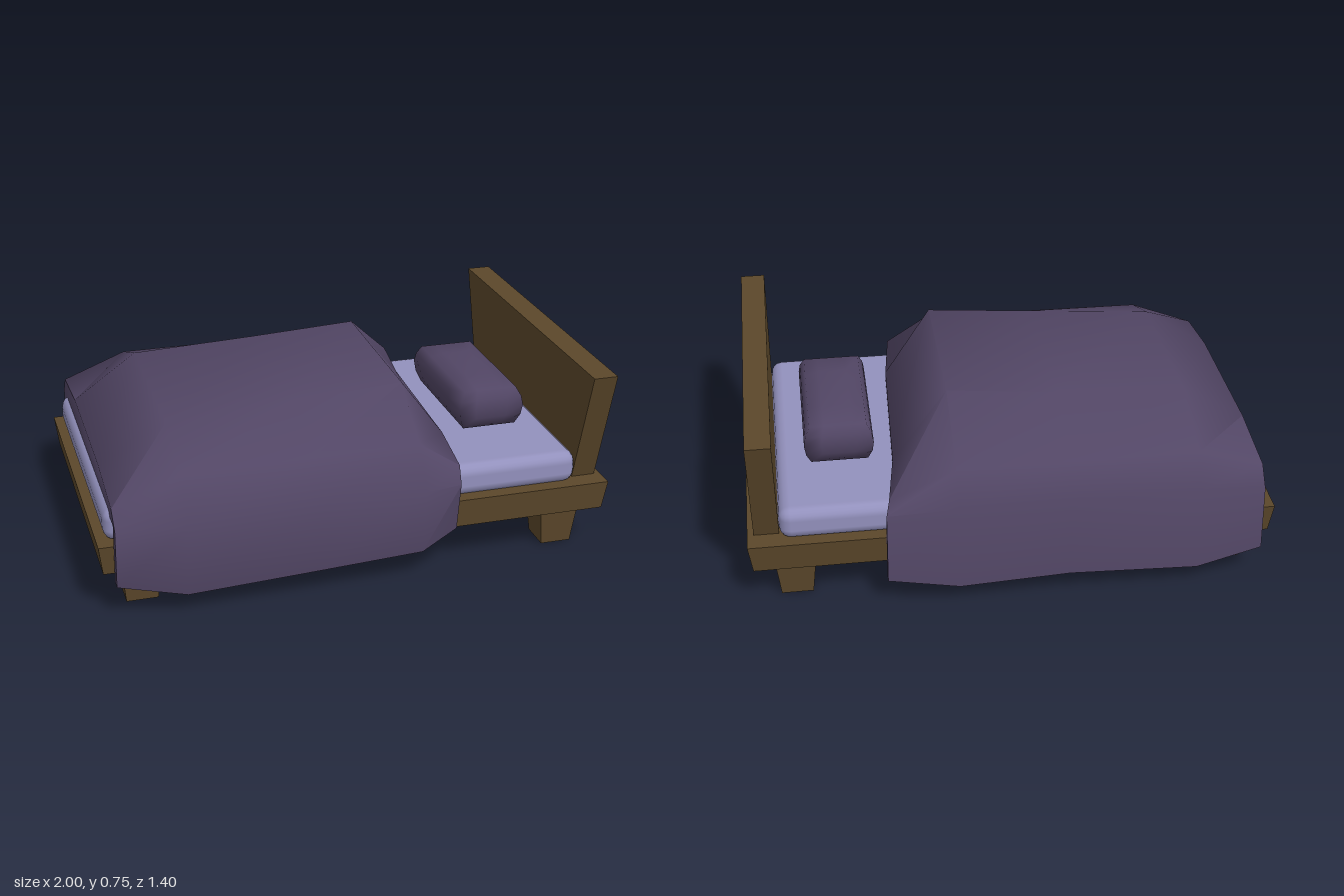
import * as THREE from 'three';
import { mergeVertices, toCreasedNormals } from 'three/addons/utils/BufferGeometryUtils.js';
import { RoundedBoxGeometry } from 'three/addons/geometries/RoundedBoxGeometry.js';

const wood = new THREE.MeshStandardMaterial({ color: 0x5c482b });
wood.name = 'wood';
const quilt = new THREE.MeshStandardMaterial({ color: 0x524665 });
quilt.name = 'purple cloth';
const sheet = new THREE.MeshStandardMaterial({ color: 0x9391bd });
sheet.name = 'lilac sheet';

// Box standing on its origin, its bottom face scaled in x and z
function taperedBox(w, h, d, bottomX, bottomZ) {
  const geo = new THREE.BoxGeometry(w, h, d).translate(0, h / 2, 0);
  const p = geo.attributes.position;
  for (let i = 0; i < p.count; i++) {
    if (p.getY(i) < h / 2) {
      p.setX(i, p.getX(i) * bottomX);
      p.setZ(i, p.getZ(i) * bottomZ);
    }
  }
  geo.computeVertexNormals();
  return geo;
}

// Soft box: rectangular in plan, drawn in towards its top and bottom
function pillowGeometry(w, h, d) {
  let geo = new THREE.BoxGeometry(w, h, d, 4, 4, 4);
  geo.deleteAttribute('uv');
  geo.deleteAttribute('normal');
  geo = mergeVertices(geo);
  const p = geo.attributes.position;
  for (let i = 0; i < p.count; i++) {
    const u = p.getX(i) / w * 2, v = p.getY(i) / h * 2, s = p.getZ(i) / d * 2;
    const inset = 0.024 * v * v;
    const sag = v > 0 ? 0.016 * Math.max(u * u, s * s) * v : 0;
    p.setXYZ(i, u * (w / 2 - inset), p.getY(i) - sag, s * (d / 2 - inset));
  }
  geo.computeVertexNormals();
  return geo;
}

// Draped cover: cross-sections [z, y] from front hem to back hem, at stations along x
function coverGeometry() {
  const sections = [
    [[0.62, 0.13], [0.645, 0.37], [0.58, 0.43], [0.3, 0.475], [-0.3, 0.49], [-0.6, 0.46], [-0.66, 0.39], [-0.68, 0.13]],
    [[0.655, 0.08], [0.7, 0.38], [0.58, 0.53], [0.33, 0.63], [-0.33, 0.655], [-0.62, 0.55], [-0.685, 0.42], [-0.705, 0.08]],
    [[0.65, 0.1], [0.685, 0.38], [0.58, 0.535], [0.34, 0.665], [-0.33, 0.675], [-0.62, 0.55], [-0.685, 0.42], [-0.705, 0.1]],
    [[0.64, 0.115], [0.67, 0.38], [0.575, 0.535], [0.35, 0.695], [-0.31, 0.705], [-0.62, 0.55], [-0.685, 0.42], [-0.705, 0.08]],
    [[0.61, 0.18], [0.645, 0.38], [0.58, 0.43], [0.3, 0.44], [-0.35, 0.44], [-0.62, 0.44], [-0.68, 0.41], [-0.7, 0.13]],
  ];
  const stations = [-0.945, -0.69, -0.2, 0.22];
  const headEdge = [0.365, 0.365, 0.38, 0.41, 0.435, 0.47, 0.485, 0.49];
  const positions = [], index = [], n = 8, ring = 16;
  sections.forEach((section, i) => {
    const xAt = j => (i < stations.length ? stations[i] : headEdge[j]);
    section.forEach(([z, y], j) => positions.push(xAt(j), y, z));
    // underside, back hem to front hem
    const under = section.map(([z, y], j) => {
      if (j === 0) return [z - 0.04, y];
      if (j === n - 1) return [z + 0.04, y];
      return [THREE.MathUtils.clamp(z, -0.635, 0.603), j === n - 2 ? 0.34 : 0.375];
    });
    for (let j = n - 1; j >= 0; j--) positions.push(xAt(j), under[j][1], under[j][0]);
  });
  const quad = (a, b, c, d) => index.push(a, b, c, a, c, d);
  const last = (sections.length - 1) * ring;
  for (let r = 0; r < last; r += ring) {
    for (let j = 0; j < ring; j++) {
      const k = (j + 1) % ring;
      quad(r + j, r + ring + j, r + ring + k, r + k);
    }
  }
  // end faces between the outside and the underside
  for (let j = 0; j < n - 1; j++) {
    const inner = ring - 1 - j;
    quad(j, j + 1, inner - 1, inner);
    quad(last + j, last + inner, last + inner - 1, last + j + 1);
  }
  const geo = new THREE.BufferGeometry();
  geo.setAttribute('position', new THREE.Float32BufferAttribute(positions, 3));
  geo.setIndex(index);
  return toCreasedNormals(geo, 1.05);
}

export function createModel() {
  const bed = new THREE.Group();
  bed.name = 'bed';
  const add = (name, geo, material, x, y, z) => {
    const mesh = new THREE.Mesh(geo, material);
    mesh.name = name;
    mesh.position.set(x, y, z);
    bed.add(mesh);
  };
  const midZ = -0.023;

  // Wooden frame, legs and headboard
  add('frame', taperedBox(2, 0.117, 1.215, 0.985, 0.975), wood, 0, 0.163, midZ);
  const leg = taperedBox(0.155, 0.165, 0.165, 0.78, 0.76);
  for (const x of [-0.836, 0.828]) {
    for (const side of [-1, 1]) add('leg', leg, wood, x, 0, midZ + side * 0.465);
  }
  add('headboard', taperedBox(0.095, 0.472, 1.335, 1, 0.787), wood, 0.928, 0.278, midZ);

  // Bedding
  add('mattress', new RoundedBoxGeometry(1.85, 0.13, 1.14, 2, 0.045), sheet, -0.045, 0.336, midZ - 0.002);
  add('pillow', pillowGeometry(0.265, 0.172, 0.565), quilt, 0.633, 0.499, -0.027);
  add('blanket', coverGeometry(), quilt, 0, 0, 0);
  return bed;
}
